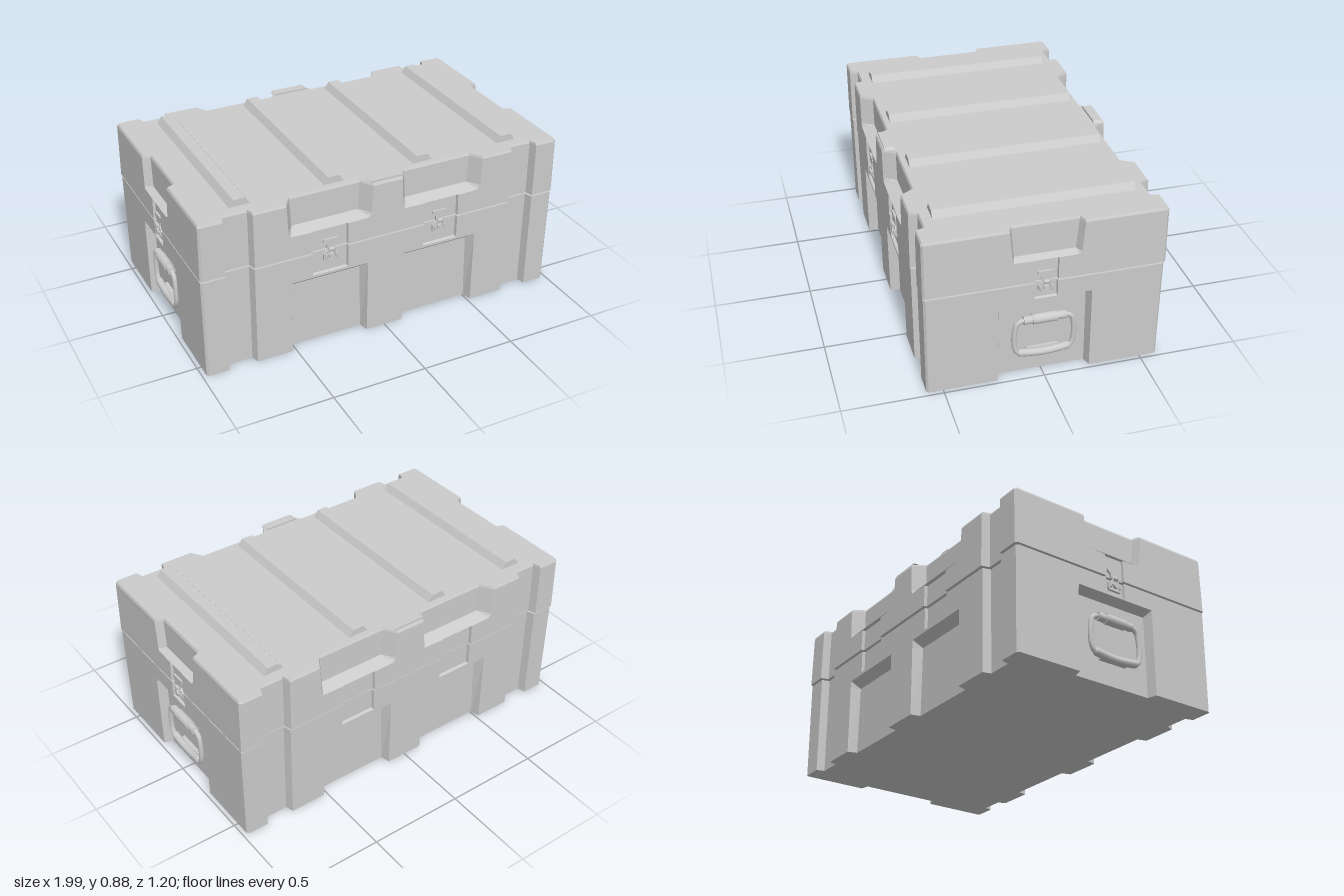
import * as THREE from 'three';

const material = new THREE.MeshStandardMaterial({ color: 0xcccccc, flatShading: true });
const smooth = new THREE.MeshStandardMaterial({ color: 0xcccccc });

function add(parent, name, geometry, x = 0, y = 0, z = 0, mat = material) {
  const mesh = new THREE.Mesh(geometry, mat);
  mesh.name = name;
  mesh.position.set(x, y, z);
  parent.add(mesh);
  return mesh;
}

// Recess profile rows: [y, outer half width, inner half width, depth]
function sample(rows, y) {
  if (y <= rows[0][0]) return rows[0].slice(1);
  for (let i = 1; i < rows.length; i++) {
    const a = rows[i - 1], b = rows[i];
    if (y <= b[0]) {
      const t = (y - a[0]) / (b[0] - a[0]);
      return [1, 2, 3].map(k => a[k] + (b[k] - a[k]) * t);
    }
  }
  return rows[rows.length - 1].slice(1);
}

// One horizontal outline with grooves and recesses cut into all four sides
function ring(y, halfX, halfZ, long, short) {
  const groove = [0.075, 0.063, 0.042], chamfer = 0.01;
  const l = sample(long, y), s = sample(short, y);
  const points = [];
  for (let side = 0; side < 4; side++) {
    const isLong = side % 2 === 0;
    const half = isLong ? halfX : halfZ, dist = isLong ? halfZ : halfX;
    const cuts = isLong
      ? [[-0.785, groove], [-0.31, l], [0.31, l], [0.785, groove]]
      : [[0, s]];
    const path = [[-half + chamfer, dist]];
    for (const [c, [o, i, d]] of cuts) {
      path.push([c - o, dist], [c - i, dist - d], [c + i, dist - d], [c + o, dist]);
    }
    path.push([half - chamfer, dist]);
    const place = [(t, r) => [t, r], (t, r) => [r, -t], (t, r) => [-t, -r], (t, r) => [-r, t]][side];
    for (const [t, r] of path) {
      const [x, z] = place(t, r);
      points.push(new THREE.Vector3(x, y, z));
    }
  }
  return points;
}

// Loft the outlines from bottom to top and close both ends
function shell(sizes, long, short) {
  const low = sizes[0][0], high = sizes[sizes.length - 1][0];
  const ys = [...new Set([...sizes, ...long, ...short].map(r => r[0]))]
    .filter(y => y >= low && y <= high).sort((a, b) => a - b);
  const table = sizes.map(([y, x, z]) => [y, x, z, 0]);
  const rings = ys.map(y => {
    const [x, z] = sample(table, y);
    return ring(y, x, z, long, short);
  });
  const out = [];
  const tri = (...ps) => ps.forEach(p => out.push(p));
  for (let k = 1; k < rings.length; k++) {
    const a = rings[k - 1], b = rings[k], n = a.length;
    for (let i = 0; i < n; i++) {
      const j = (i + 1) % n;
      tri(a[i], a[j], b[j]);
      tri(a[i], b[j], b[i]);
    }
  }
  for (const [r, up] of [[rings[0], false], [rings[rings.length - 1], true]]) {
    const flat = r.map(p => new THREE.Vector2(p.x, -p.z));
    for (const [a, b, c] of THREE.ShapeUtils.triangulateShape(flat, [])) {
      if (up) tri(r[a], r[b], r[c]);
      else tri(r[a], r[c], r[b]);
    }
  }
  const geometry = new THREE.BufferGeometry().setFromPoints(out);
  geometry.computeVertexNormals();
  return geometry;
}

function extrude(points, depth) {
  const shape = new THREE.Shape(points.map(([x, y]) => new THREE.Vector2(x, y)));
  return new THREE.ExtrudeGeometry(shape, { depth, bevelEnabled: false });
}

// Latch facing +z, its origin on the seam at the recess floor
function latch() {
  const g = new THREE.Group();
  g.name = 'latch';
  add(g, 'latchKeeper', extrude([[-0.02, 0.0], [0.02, 0.0], [0.025, 0.025], [0.042, 0.04],
    [0.04, 0.055], [-0.04, 0.055], [-0.042, 0.04], [-0.025, 0.025]], 0.012));
  add(g, 'latchBase', extrude([[-0.035, -0.065], [0.035, -0.065], [0.04, -0.055], [0.04, -0.025],
    [0.022, -0.01], [-0.022, -0.01], [-0.04, -0.025], [-0.04, -0.055]], 0.012));
  const hook = add(g, 'latchHook', new THREE.CapsuleGeometry(0.011, 0.012, 4, 10), 0, 0, 0.016, smooth);
  hook.rotation.z = Math.PI / 2;
  const dial = add(g, 'latchDial', new THREE.CylinderGeometry(0.014, 0.016, 0.024, 16), 0, -0.037, 0.012);
  dial.rotation.x = Math.PI / 2;
  for (const s of [-1, 1]) {
    add(g, 'latchPin', new THREE.CapsuleGeometry(0.006, 0.018, 4, 8), s * 0.028, -0.038, 0.015, smooth);
    const arm = add(g, 'latchArm', new THREE.CylinderGeometry(0.004, 0.004, 0.045, 8), s * 0.017, -0.015, 0.017, smooth);
    arm.rotation.z = s * 0.2;
  }
  return g;
}

// Carrying handle facing +z, its origin on the recess floor
function handle() {
  const g = new THREE.Group();
  g.name = 'handle';
  const half = [[0.06, 0.325], [0.11, 0.323], [0.137, 0.307], [0.146, 0.275], [0.15, 0.22],
    [0.145, 0.165], [0.132, 0.14], [0.105, 0.132], [0.05, 0.125]];
  const loop = [...half, ...half.map(([x, y]) => [-x, y]).reverse()]
    .map(([x, y]) => new THREE.Vector3(x, y, 0.032));
  const curve = new THREE.CatmullRomCurve3(loop, true);
  add(g, 'handleLoop', new THREE.TubeGeometry(curve, 80, 0.013, 10, true), 0, 0, 0, smooth);
  const bar = (name, r, length, y) => {
    add(g, name, new THREE.CylinderGeometry(r, r, length, 16), 0, y, 0.032, smooth).rotation.z = Math.PI / 2;
  };
  bar('handleGrip', 0.026, 0.12, 0.324);
  bar('handleSleeve', 0.021, 0.21, 0.324);
  // Lower sleeve sags slightly in the middle
  const sag = new THREE.CatmullRomCurve3([[-0.118, 0.135], [-0.08, 0.13], [0, 0.124], [0.08, 0.13], [0.118, 0.135]]
    .map(([x, y]) => new THREE.Vector3(x, y, 0.032)));
  add(g, 'handlePivot', new THREE.TubeGeometry(sag, 16, 0.02, 12), 0, 0, 0, smooth);
  for (const s of [-1, 1]) {
    add(g, 'handleSleeveEnd', new THREE.SphereGeometry(0.02, 12, 8), s * 0.116, 0.135, 0.032, smooth);
  }
  add(g, 'handleBracket', new THREE.BoxGeometry(0.16, 0.025, 0.036), 0, 0.128, 0.014);
  return g;
}

export function createModel() {
  const model = new THREE.Group();
  model.name = 'storageCase';

  // Lower tub, with tall recesses open at the floor and shallow latch seats
  add(model, 'body', shell(
    [[0, 0.978, 0.585], [0.54, 0.983, 0.588]],
    [[0, 0.208, 0.195, 0.05], [0.365, 0.208, 0.185, 0.05], [0.405, 0.208, 0.205, 0],
      [0.418, 0.097, 0.094, 0], [0.422, 0.097, 0.094, 0.016], [0.54, 0.097, 0.094, 0.016]],
    [[0, 0.233, 0.22, 0.048], [0.425, 0.23, 0.215, 0.048], [0.45, 0.228, 0.225, 0],
      [0.452, 0.057, 0.055, 0], [0.456, 0.057, 0.055, 0.014], [0.54, 0.057, 0.055, 0.014]]
  ), 0, 0, -0.003);

  // Lid, with flared pockets open at the top
  add(model, 'lid', shell(
    [[0.55, 0.985, 0.593], [0.838, 0.982, 0.592], [0.85, 0.976, 0.586]],
    [[0.55, 0.097, 0.094, 0.016], [0.665, 0.095, 0.092, 0.016], [0.67, 0.215, 0.205, 0],
      [0.692, 0.222, 0.178, 0.064], [0.85, 0.23, 0.188, 0.064]],
    [[0.55, 0.057, 0.055, 0.014], [0.667, 0.057, 0.055, 0.014], [0.67, 0.162, 0.152, 0],
      [0.682, 0.168, 0.15, 0.04], [0.85, 0.182, 0.165, 0.04]]
  ), 0, 0, -0.005);

  // Stacking ribs across the lid
  const rib = [[-0.055, 0], [0.055, 0], [0.03, 0.036], [-0.03, 0.036]];
  for (const x of [-0.735, -0.245, 0.245, 0.735]) {
    add(model, 'lidRib', extrude(rib, 0.99), x, 0.849, -0.5);
  }

  // Raised lips between the long-side pockets
  for (const z of [-0.585, 0.525]) {
    add(model, 'lidLip', extrude([[-0.1, 0], [0.1, 0], [0.085, 0.011], [-0.085, 0.011]], 0.05), 0, 0.849, z);
  }

  // Two front latches
  for (const x of [-0.305, 0.305]) {
    const l = latch();
    l.position.set(x, 0.547, 0.571);
    model.add(l);
  }

  // A latch and a handle on each end
  for (const s of [-1, 1]) {
    const l = latch(), h = handle();
    l.position.set(s * 0.969, 0.547, -0.004);
    h.position.set(s * 0.932, 0, -0.004);
    l.rotation.y = h.rotation.y = s * Math.PI / 2;
    model.add(l, h);
  }
  return model;
}
